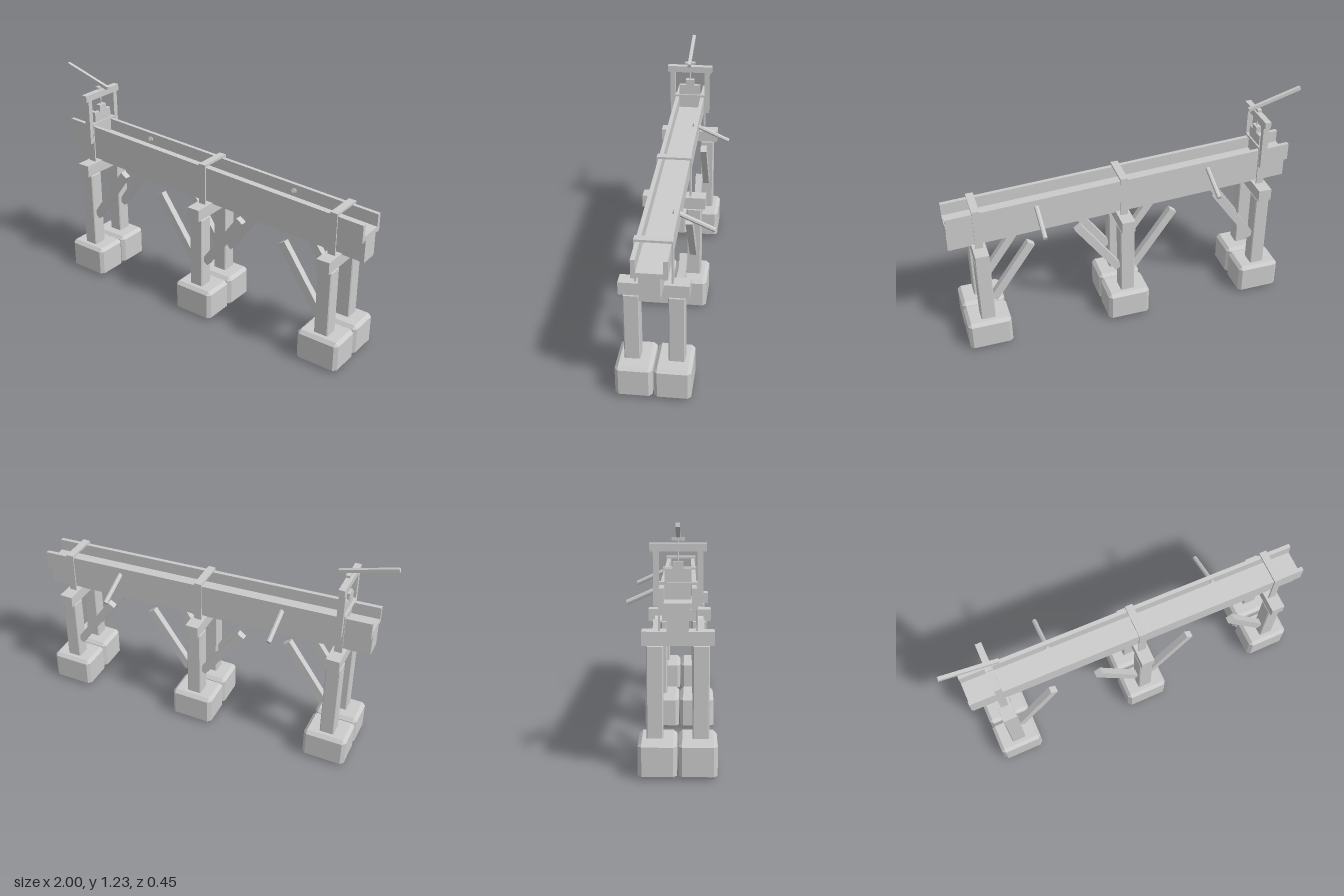
import * as THREE from 'three';
import { ConvexGeometry } from 'three/addons/geometries/ConvexGeometry.js';

const MAT = new THREE.MeshStandardMaterial({ color: 0xcccccc, flatShading: true });
const SLOPE = -0.0495;   // fall of the channel along x
const MID = 0.038;       // z of the channel's centre line
const drop = (x) => SLOPE * (x - 1);

function add(parent, name, geometry, x = 0, y = 0, z = 0) {
  const mesh = new THREE.Mesh(geometry, MAT);
  mesh.name = name;
  mesh.position.set(x, y, z);
  parent.add(mesh);
  return mesh;
}

// Box given by its limits on each axis
function block(parent, name, [x0, x1], [y0, y1], [z0, z1]) {
  return add(parent, name, new THREE.BoxGeometry(x1 - x0, y1 - y0, z1 - z0),
    (x0 + x1) / 2, (y0 + y1) / 2, (z0 + z1) / 2);
}

// Box with every edge cut at 45 degrees
function chamferBox(w, h, d, c) {
  const points = [];
  for (const sx of [-1, 1]) for (const sy of [-1, 1]) for (const sz of [-1, 1]) {
    for (let face = 0; face < 3; face++) {
      const inset = [c, c, c];
      inset[face] = 0;
      points.push(new THREE.Vector3(
        sx * (w / 2 - inset[0]), sy * (h / 2 - inset[1]), sz * (d / 2 - inset[2])));
    }
  }
  return new ConvexGeometry(points);
}

// Square bar between two points in the xy plane
function bar(parent, name, [x0, y0], [x1, y1], thick, depth, z) {
  const length = Math.hypot(x1 - x0, y1 - y0);
  const mesh = add(parent, name, new THREE.BoxGeometry(length, thick, depth),
    (x0 + x1) / 2, (y0 + y1) / 2, z);
  mesh.rotation.z = Math.atan2(y1 - y0, x1 - x0);
  return mesh;
}

// Long plank that follows the fall of the channel; y limits are those at x = 1
function plank(parent, name, ys, zs) {
  const mesh = block(parent, name, [-0.92, 1], ys, zs);
  const p = mesh.geometry.attributes.position;
  for (let i = 0; i < p.count; i++) {
    p.setY(i, p.getY(i) + drop(p.getX(i) + mesh.position.x));
  }
  mesh.geometry.computeVertexNormals();
}

function createSupport(x, braceSides) {
  const support = new THREE.Group();
  support.name = 'support';
  const top = 0.608 + drop(x);
  const capBottom = top - 0.063;

  for (const side of [-1, 1]) {
    const z = MID + side * 0.11;
    add(support, 'footing', chamferBox(0.24, 0.18, 0.186, 0.018), x, 0.09, MID + side * 0.096);
    add(support, 'post', chamferBox(0.08, capBottom - 0.17, 0.08, 0.005), x, (capBottom + 0.17) / 2, z);
    // Diagonal braces rising away from the post
    for (const dir of braceSides) {
      const xTop = x + dir * 0.27;
      const low = capBottom - 0.265;
      bar(support, 'brace', [x + dir * 0.043, low], [xTop, low + 0.324], 0.044, 0.036, z);
    }
  }
  block(support, 'capBeam', [x - 0.037, x + 0.037], [capBottom, top + 0.004], [MID - 0.172, MID + 0.172]);

  // Strap over the channel
  const strapTop = 0.843 + drop(x);
  for (const side of [-1, 1]) {
    add(support, 'strapSide', new THREE.BoxGeometry(0.042, strapTop - top, 0.008),
      x, (strapTop + top) / 2, MID + side * 0.089);
  }
  block(support, 'strapTop', [x - 0.021, x + 0.021], [strapTop - 0.012, strapTop], [MID - 0.093, MID + 0.093]);
  return support;
}

function createChannel() {
  const channel = new THREE.Group();
  channel.name = 'channel';
  plank(channel, 'mainBeam', [0.608, 0.735], [MID - 0.05, MID + 0.05]);
  plank(channel, 'channelFloor', [0.735, 0.76], [MID - 0.085, MID + 0.085]);
  plank(channel, 'channelWall', [0.73, 0.828], [MID + 0.064, MID + 0.086]);
  plank(channel, 'channelWall', [0.73, 0.828], [MID - 0.086, MID - 0.064]);
  return channel;
}

function createGate(x) {
  const gate = new THREE.Group();
  gate.name = 'sluiceGate';
  const frameX = [x - 0.017, x + 0.017];
  for (const side of [-1, 1]) {
    add(gate, 'gatePost', new THREE.BoxGeometry(0.034, 0.26, 0.028), x, 0.946, MID + side * 0.103);
  }
  block(gate, 'gateLintel', frameX, [1.073, 1.11], [MID - 0.133, MID + 0.133]);
  block(gate, 'gateBoard', [x - 0.01, x + 0.01], [0.84, 0.99], [MID - 0.063, MID + 0.063]);
  block(gate, 'gateBlock', [x - 0.014, x + 0.014], [0.985, 1.025], [MID - 0.025, MID + 0.025]);
  add(gate, 'gateRod', new THREE.CylinderGeometry(0.004, 0.004, 0.12, 8), x, 1.075, MID);
  // Lever and its pivot
  block(gate, 'leverPivot', [x - 0.007, x + 0.017], [1.121, 1.134], [MID - 0.031, MID + 0.031]);
  bar(gate, 'lever', [-0.998, 1.216], [-0.698, 1.13], 0.019, 0.019, MID);
  return gate;
}

// Pipe through the back wall, pouring down and away
function createSpout(x) {
  const yIn = 0.8 + drop(x) - 0.002;
  const from = new THREE.Vector3(x, yIn, -0.015);
  const to = new THREE.Vector3(x, yIn - 0.094, -0.222);
  const dir = to.clone().sub(from);
  const spout = new THREE.Mesh(new THREE.CylinderGeometry(0.013, 0.013, dir.length(), 8), MAT);
  spout.name = 'spout';
  spout.position.copy(from).add(to).multiplyScalar(0.5);
  spout.quaternion.setFromUnitVectors(new THREE.Vector3(0, 1, 0), dir.normalize());
  return spout;
}

export function createModel() {
  const model = new THREE.Group();
  model.name = 'woodenAqueduct';
  model.add(
    createSupport(-0.76, [1]),
    createSupport(0.04, [-1, 1]),
    createSupport(0.84, [-1]),
    createChannel(),
    createGate(-0.758),
    createSpout(-0.44),
    createSpout(0.52),
  );
  return model;
}
